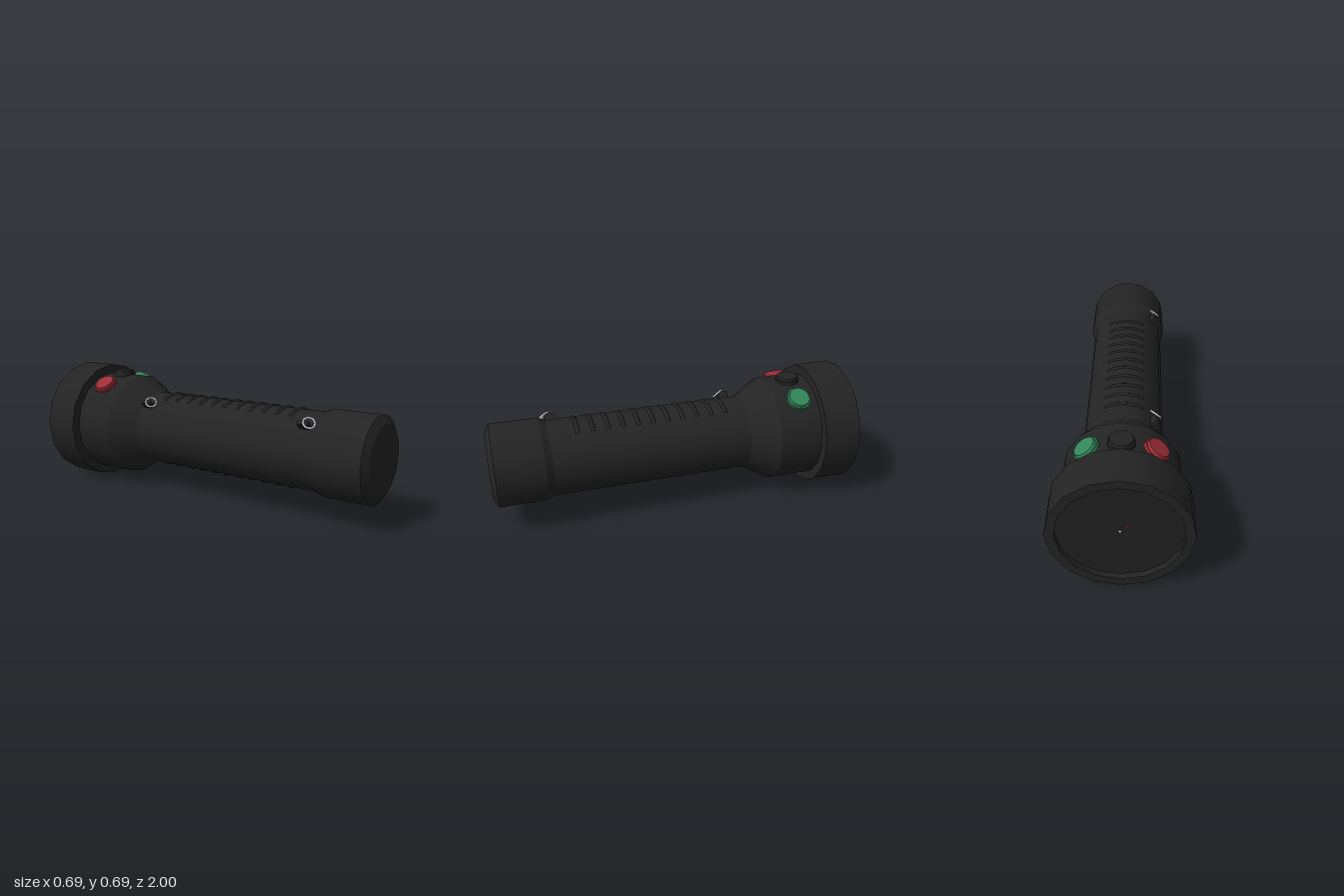
import * as THREE from 'three';
import { mergeGeometries } from 'three/addons/utils/BufferGeometryUtils.js';

const CY = 0.345; // height of the long axis
const SIDES = 16;

const mat = (name, color) => {
  const m = new THREE.MeshStandardMaterial({ color });
  m.name = name;
  return m;
};

// Turned shape along z: smooth around, with a sharp edge at every profile point [radius, z]
function turned(profile) {
  const bands = [];
  for (let i = 0; i < profile.length - 1; i++) {
    const pts = [profile[i], profile[i + 1]].map(([r, z]) => new THREE.Vector2(r, z));
    bands.push(new THREE.LatheGeometry(pts, SIDES));
  }
  return mergeGeometries(bands).rotateX(Math.PI / 2);
}

export function createModel() {
  const model = new THREE.Group();
  model.name = 'flashlight';
  const black = mat('black plastic', 0x242424);
  const glass = mat('dark lens', 0x222222);
  const red = mat('red button', 0x9c2e36);
  const green = mat('green button', 0x33885a);
  const silver = mat('silver metal', 0xc8c8d0);

  const add = (name, geometry, material, parent = model) => {
    const mesh = new THREE.Mesh(geometry, material);
    mesh.name = name;
    parent.add(mesh);
    return mesh;
  };

  // Main shell, from the lens end to the tail
  add('head', turned([[0.3, -0.97], [0.3, -1], [0.345, -1], [0.345, -0.795], [0.29, -0.795]]), black).position.y = CY;
  add('neck', turned([[0.295, -0.8], [0.295, -0.555], [0.207, -0.41]]), black).position.y = CY;
  add('handle', turned([[0.207, -0.415], [0.207, 0.685]]), black).position.y = CY;
  add('tailCap', turned([[0.207, 0.68], [0.226, 0.72], [0.226, 0.975], [0.184, 1], [0, 1]]), black).position.y = CY;
  add('lens', turned([[0, -0.97], [0.3, -0.97]]), glass).position.y = CY;

  // Tiny bulbs just proud of the lens
  [['whiteBulb', silver, 0, 0], ['redBulb', red, -0.03, 0.035]].forEach(([name, m, x, y]) => {
    add(name, new THREE.SphereGeometry(0.007, 8, 6), m).position.set(x, CY + y, -0.97);
  });

  // Grip ribs above and below the handle
  const arc = 1.0;
  const ribGeometry = new THREE.TorusGeometry(0.2, 0.013, 6, 8, arc).rotateZ(Math.PI / 2 - arc / 2);
  for (let i = 0; i < 11; i++) {
    for (const turn of [0, Math.PI]) {
      const rib = add('gripRib', ribGeometry, black);
      rib.position.set(0, CY, -0.29 + i * 0.082);
      rib.rotation.z = turn;
    }
  }

  // Three push buttons around the neck
  const buttons = [['redButton', red, 0.589], ['blackButton', black, 0], ['greenButton', green, -0.589]];
  for (const [name, m, angle] of buttons) {
    const button = new THREE.Group();
    button.name = name;
    button.position.set(0, CY, -0.69);
    button.rotation.z = angle;
    model.add(button);
    add('buttonBase', new THREE.CylinderGeometry(0.067, 0.067, 0.024, 16), m, button).position.y = 0.29;
    add('buttonCap', new THREE.CylinderGeometry(0.056, 0.06, 0.016, 16), m, button).position.y = 0.309;
  }

  // Strap rings, each held by a small lug
  const axis = new THREE.Vector3(-0.55, 0.65, 0.5).normalize();
  for (const z of [-0.335, 0.675]) {
    const ring = add('strapRing', new THREE.TorusGeometry(0.03, 0.006, 6, 16), silver);
    ring.position.set(-0.165, CY + 0.175, z);
    ring.quaternion.setFromUnitVectors(new THREE.Vector3(0, 0, 1), axis);
    const lug = add('ringLug', new THREE.BoxGeometry(0.022, 0.05, 0.06), black);
    lug.position.set(-0.158, CY + 0.158, z - 0.03);
    lug.rotation.z = Math.PI / 4;
  }

  // Small metal plate under the head
  add('undersidePlate', new THREE.BoxGeometry(0.065, 0.009, 0.065), silver).position.set(0, 0.0045, -0.955);

  return model;
}
